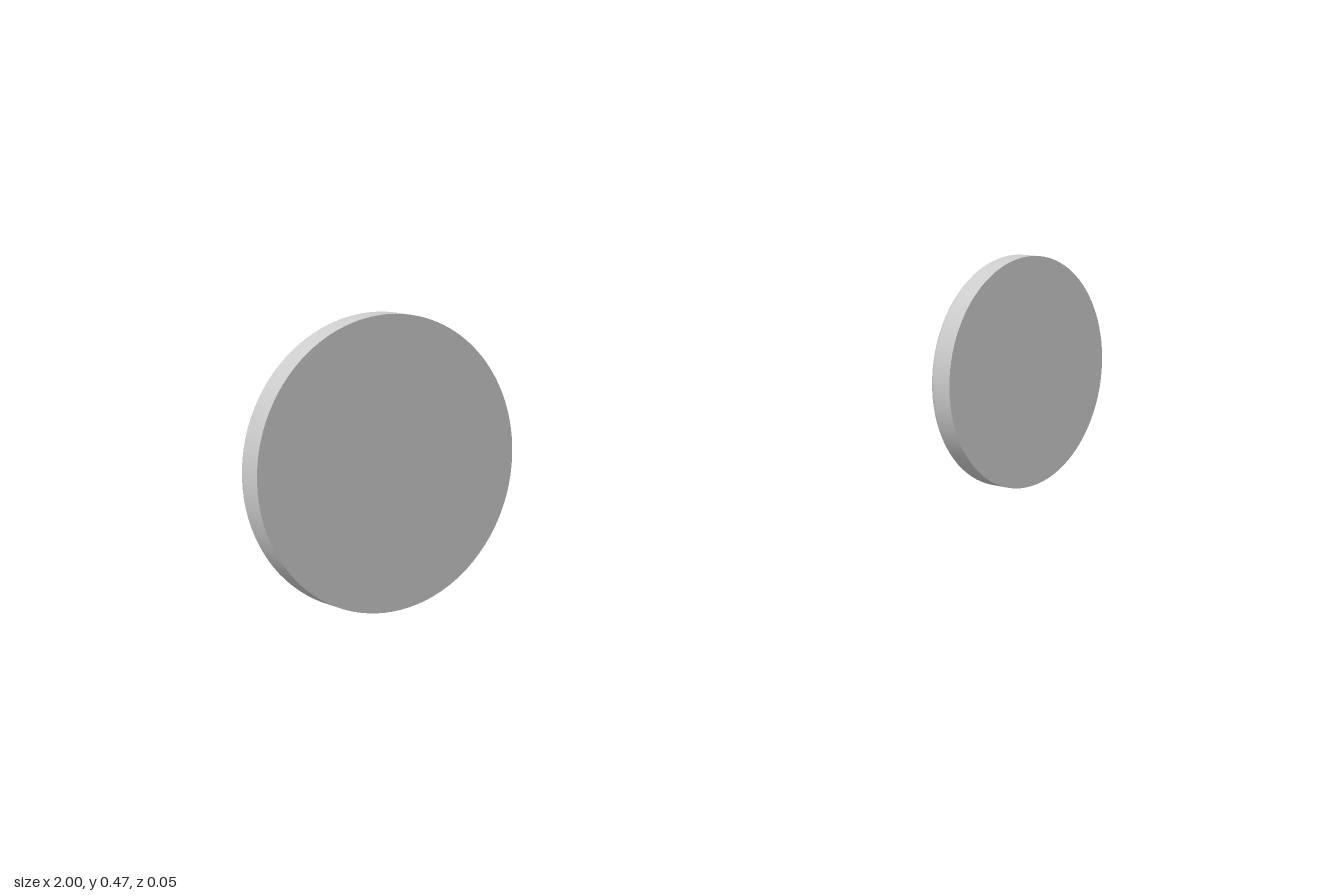
import * as THREE from 'three';

const RADIUS = 0.236;
const HALF = 0.026;
const FLOOR = 0.006;

const material = new THREE.MeshStandardMaterial({ color: 0xcccccc });

// Lathe from [radius, height] points; a repeated point makes a sharp edge.
function lathe(name, points, segments) {
  const profile = points.map(([r, h]) => new THREE.Vector2(r, h));
  const mesh = new THREE.Mesh(new THREE.LatheGeometry(profile, segments), material);
  mesh.rotation.x = -Math.PI / 2; // lathe axis points to the back
  mesh.name = name;
  return mesh;
}

// Solid disc: flat front, rounded rim and a shallow dish at the back
function makeDisc() {
  const points = [[0, -HALF], [RADIUS, -HALF], [RADIUS, -HALF], [RADIUS, HALF - 0.011]];
  // outer rim rounding
  for (let i = 1; i <= 6; i++) {
    const a = (i / 6) * Math.PI / 2;
    points.push([RADIUS - 0.011 + 0.011 * Math.cos(a), HALF - 0.011 + 0.011 * Math.sin(a)]);
  }
  // smooth fall from the rim to the dish floor
  for (let i = 0; i <= 10; i++) {
    const t = i / 10;
    const s = t * t * (3 - 2 * t);
    points.push([0.218 - 0.036 * t, HALF - (HALF - FLOOR) * s]);
  }
  points.push([0.182, FLOOR], [0, FLOOR]);
  return lathe('disc', points, 96);
}

// Raised hub plate with a softened edge
function makeHub() {
  return lathe('hub', [
    [0.075, FLOOR - 0.002], [0.075, FLOOR + 0.007], [0.074, FLOOR + 0.009],
    [0.072, FLOOR + 0.01], [0.072, FLOOR + 0.01], [0, FLOOR + 0.01],
  ], 64);
}

// One curved, bevelled lug; the ring repeats it eight times
function makeLugRing() {
  const bevel = 0.003;
  const inner = 0.076 + bevel;
  const outer = 0.1 - bevel;
  const half = 0.27;
  const shape = new THREE.Shape();
  shape.absarc(0, 0, outer, -half, half, false);
  shape.absarc(0, 0, inner, half, -half, true);
  shape.closePath();
  const geometry = new THREE.ExtrudeGeometry(shape, {
    depth: 0.009, bevelEnabled: true, bevelThickness: bevel,
    bevelSize: bevel, bevelSegments: 3, curveSegments: 8,
  });
  const ring = new THREE.Group();
  ring.name = 'lugRing';
  for (let i = 0; i < 8; i++) {
    const lug = new THREE.Mesh(geometry, material);
    lug.name = 'lug';
    lug.rotation.z = (i * Math.PI) / 4;
    ring.add(lug);
  }
  ring.rotation.y = Math.PI; // lugs rise toward the back
  ring.position.z = -FLOOR + 0.001;
  return ring;
}

export function createModel() {
  const model = new THREE.Group();
  model.name = 'wheelPair';
  for (const side of [1, -1]) {
    const wheel = new THREE.Group();
    wheel.name = side > 0 ? 'leftWheel' : 'rightWheel';
    wheel.add(makeDisc(), makeHub(), makeLugRing());
    wheel.position.set(side * (1 - RADIUS), RADIUS + 0.001, 0);
    model.add(wheel);
  }
  return model;
}
